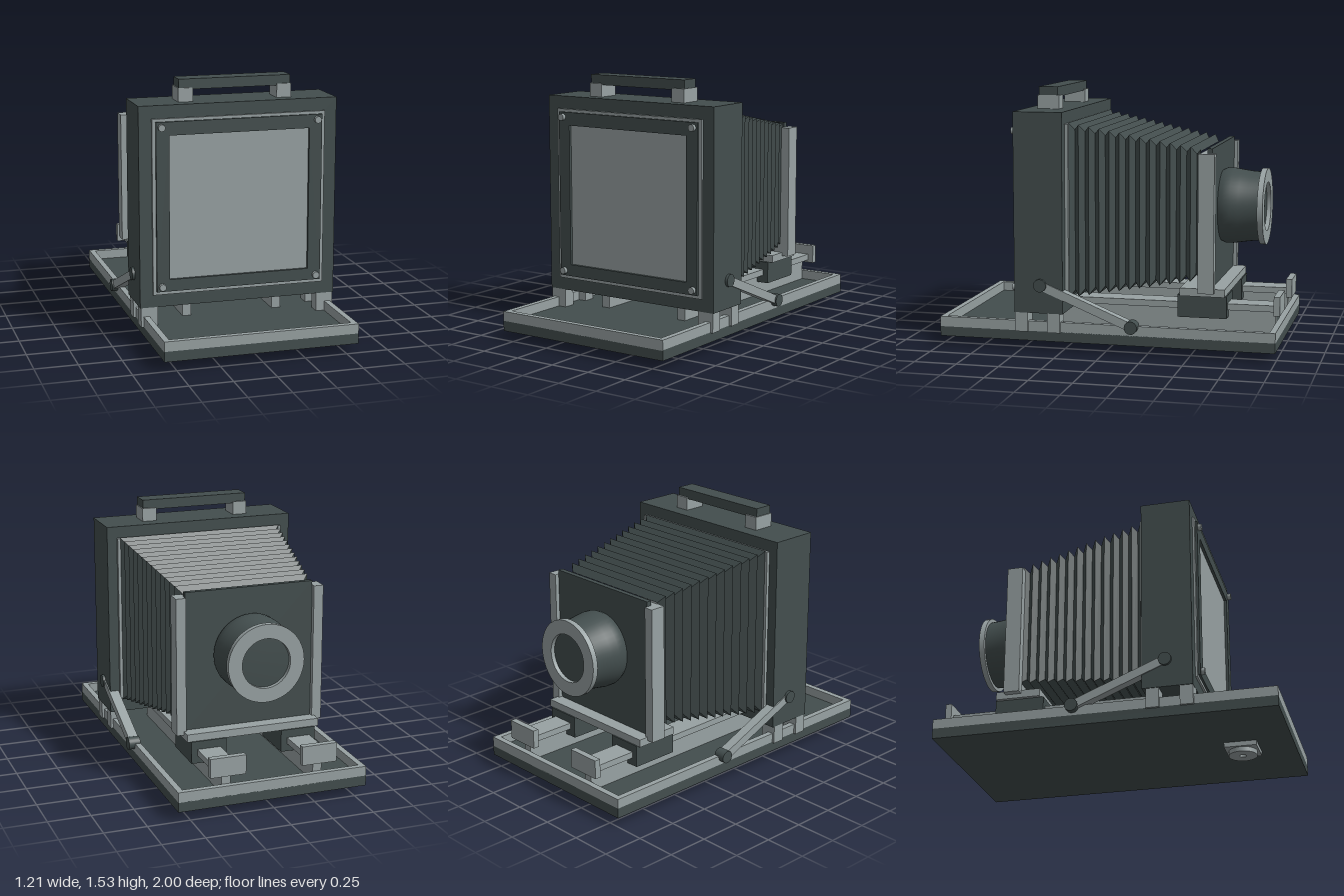
import * as THREE from 'three';
import { toCreasedNormals } from 'three/addons/utils/BufferGeometryUtils.js';

const dark = new THREE.MeshStandardMaterial({ color: 0x434e4e });
dark.name = 'dark slate';
const light = new THREE.MeshStandardMaterial({ color: 0x98a2a3 });
light.name = 'light grey';

export function createModel() {
  const model = new THREE.Group();
  model.name = 'bellowsCamera';

  const add = (name, geometry, material) => {
    const mesh = new THREE.Mesh(geometry, material);
    mesh.name = name;
    model.add(mesh);
    return mesh;
  };
  // box given by its limits on each axis
  const box = (name, material, x0, x1, y0, y1, z0, z1) => {
    const mesh = add(name, new THREE.BoxGeometry(x1 - x0, y1 - y0, z1 - z0), material);
    mesh.position.set((x0 + x1) / 2, (y0 + y1) / 2, (z0 + z1) / 2);
    return mesh;
  };
  const pair = (name, material, x0, x1, ...rest) => {
    box(name + 'Left', material, x0, x1, ...rest);
    box(name + 'Right', material, -x1, -x0, ...rest);
  };
  // rectangular frame facing z
  const frame = (name, material, [w, y0, y1], [iw, iy0, iy1], z0, z1) => {
    const rect = (path, a, b, c) => path.moveTo(-a, b).lineTo(a, b).lineTo(a, c).lineTo(-a, c).closePath();
    const shape = rect(new THREE.Shape(), w, y0, y1);
    shape.holes.push(rect(new THREE.Path(), iw, iy0, iy1));
    const geo = new THREE.ExtrudeGeometry(shape, { depth: z1 - z0, bevelEnabled: false });
    return add(name, geo.translate(0, 0, z0), material);
  };
  // turned part, profile points are [radius, height]
  const turned = (name, material, points) => {
    const geo = new THREE.LatheGeometry(points.map(p => new THREE.Vector2(...p)), 48);
    return add(name, toCreasedNormals(geo, 0.6), material);
  };

  // base board, raised rim and tripod mount
  box('baseBoard', dark, -0.57, 0.57, 0.055, 0.115, -1, 1);
  frame('baseRim', light, [0.57, -1, 1], [0.535, -0.965, 0.965], 0, 0.06)
    .rotateX(-Math.PI / 2).position.y = 0.112;
  box('tripodPlate', light, -0.095, 0.095, 0.027, 0.055, 0.605, 0.795);
  turned('tripodSocket', light, [
    [0.02, 0.02], [0.02, 0], [0.083, 0], [0.083, 0.028],
  ]).position.z = 0.7;
  turned('tripodHole', dark, [[0, 0.02], [0.02, 0.02]]).position.z = 0.7;
  model.getObjectByName('tripodHole').rotation.x = Math.PI;
  model.getObjectByName('tripodHole').position.y = 0.038;

  // rear body with its feet and focusing screen
  box('body', dark, -0.59, 0.59, 0.225, 1.4, 0.24, 0.532);
  for (const z of [0.26, 0.455]) pair('bodyFoot', light, 0.485, 0.585, 0.11, 0.226, z, z + 0.076);
  frame('screenSurround', light, [0.515, 0.3, 1.325], [0.48, 0.34, 1.29], 0.53, 0.544);
  frame('screenFrame', dark, [0.495, 0.32, 1.308], [0.418, 0.39, 1.23], 0.53, 0.557);
  box('focusingScreen', light, -0.418, 0.418, 0.39, 1.23, 0.531, 0.54);
  for (const x of [-0.465, 0.465]) for (const y of [0.35, 1.278]) {
    const screw = add('screenScrew', new THREE.CylinderGeometry(0.02, 0.02, 0.025, 16), light);
    screw.rotation.x = Math.PI / 2;
    screw.position.set(x, y, 0.566);
  }

  // carrying handle
  pair('handlePost', light, 0.25, 0.338, 1.4, 1.48, 0.325, 0.458);
  box('handleBar', dark, -0.333, 0.333, 1.47, 1.53, 0.335, 0.45);

  // pleated bellows: rectangular sections alternating between ridge and valley
  box('bellowsRearFrame', light, -0.53, 0.53, 0.315, 1.33, 0.22, 0.242);
  const pleats = 13, steps = pleats * 2, pos = [], index = [];
  for (let i = 0; i <= steps; i++) {
    const t = i / steps, inset = i % 2 ? 0.036 : 0;
    const w = THREE.MathUtils.lerp(0.515, 0.4, t) - inset;
    const top = THREE.MathUtils.lerp(1.335, 1.19, t) - inset;
    const low = THREE.MathUtils.lerp(0.31, 0.425, t) + inset;
    const z = THREE.MathUtils.lerp(0.222, -0.535, t);
    pos.push(w, top, z, -w, top, z, -w, low, z, w, low, z);
    for (let j = 0; i < steps && j < 4; j++) {
      const a = i * 4 + j, b = i * 4 + (j + 1) % 4;
      index.push(a, a + 4, b + 4, a, b + 4, b);
    }
  }
  const pleated = new THREE.BufferGeometry();
  pleated.setAttribute('position', new THREE.Float32BufferAttribute(pos, 3));
  pleated.setIndex(index);
  const bellows = pleated.toNonIndexed();
  bellows.computeVertexNormals();
  add('bellows', bellows, dark);

  // lens standard
  box('standardPanel', light, -0.392, 0.392, 0.37, 1.165, -0.571, -0.533);
  box('lensBoard', dark, -0.387, 0.387, 0.37, 1.192, -0.6, -0.57);
  pair('standardUpright', light, 0.39, 0.448, 0.355, 1.165, -0.622, -0.528);
  box('standardFoot', light, -0.405, 0.405, 0.33, 0.376, -0.68, -0.415);

  // rails, sliding blocks and end stops
  pair('carriageBlock', dark, 0.17, 0.382, 0.2, 0.332, -0.688, -0.398);
  pair('railWeb', light, 0.25, 0.303, 0.11, 0.25, -0.965, 0.4);
  pair('railTop', light, 0.207, 0.347, 0.246, 0.284, -0.965, 0.4);
  pair('railEndStop', light, 0.17, 0.382, 0.23, 0.343, -1, -0.963);

  // lens barrel, rim ring and glass
  const lensParts = [
    turned('lensBarrel', dark, [
      [0.212, 0.595], [0.226, 0.625], [0.226, 0.67], [0.218, 0.72], [0.21, 0.775], [0.206, 0.835],
    ]),
    turned('lensRing', light, [
      [0.145, 0.835], [0.228, 0.835], [0.228, 0.868], [0.145, 0.868], [0.145, 0.835],
    ]),
    turned('lensGlass', dark, [[0.16, 0.842], [0, 0.85]]),
  ];
  for (const part of lensParts) {
    part.rotation.x = -Math.PI / 2;
    part.position.y = 0.815;
  }

  // side braces with a knob at each end
  const upper = [0.39, 0.375], lower = [0.167, -0.167];
  const dy = upper[0] - lower[0], dz = upper[1] - lower[1];
  for (const side of [-1, 1]) {
    const brace = add('sideBrace', new THREE.BoxGeometry(0.06, 0.05, Math.hypot(dy, dz)), light);
    brace.position.set(side * 0.567, (upper[0] + lower[0]) / 2, (upper[1] + lower[1]) / 2);
    brace.rotation.x = -Math.atan2(dy, dz);
    for (const [y, z] of [upper, lower]) {
      const knob = add('braceKnob', new THREE.CylinderGeometry(0.038, 0.038, 0.07, 24), dark);
      knob.rotation.z = Math.PI / 2;
      knob.position.set(side * 0.571, y, z);
    }
  }

  return model;
}
